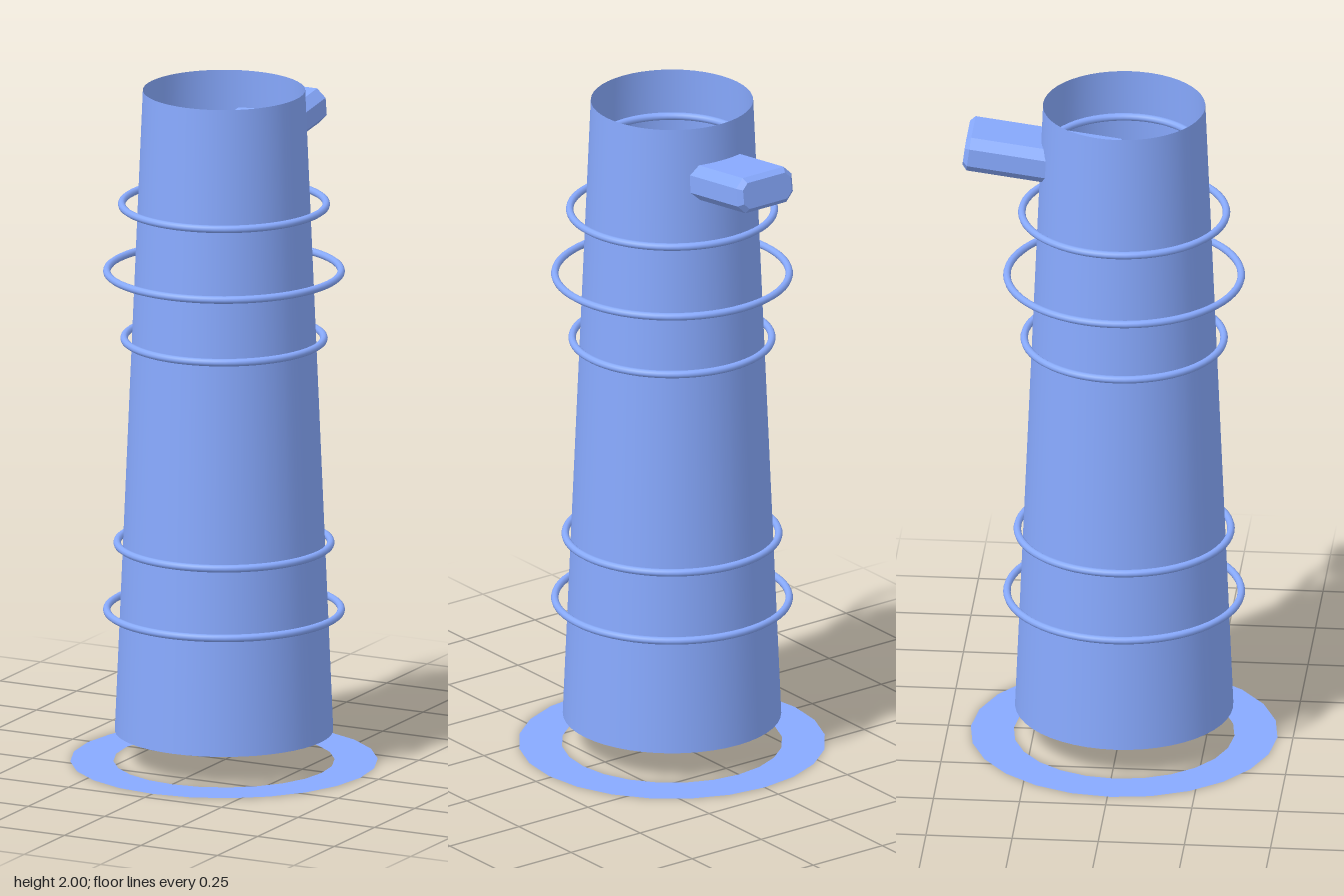
import * as THREE from 'three';

export function createModel() {
  const group = new THREE.Group();
  const smooth = new THREE.MeshStandardMaterial({ color: 0x88aaff });
  const thin = new THREE.MeshStandardMaterial({ color: 0x88aaff, side: THREE.DoubleSide });
  const flat = new THREE.MeshStandardMaterial({ color: 0x88aaff, flatShading: true });
  const axisZ = 0.01;

  function add(name, geometry, material, y, z = axisZ) {
    const mesh = new THREE.Mesh(geometry, material);
    mesh.name = name;
    mesh.position.set(0, y, z);
    group.add(mesh);
    return mesh;
  }

  // Open tapered tube
  add('taperedTube', new THREE.CylinderGeometry(0.235, 0.316, 1.91, 48, 1, true), thin, 1.045);

  // Flat ring on the ground
  add('baseRing', new THREE.RingGeometry(0.32, 0.445, 24, 1), thin, 0).rotation.x = -Math.PI / 2;

  // Thin hoops: height and radius; the top and bottom ones sit inside the tube
  const hoops = [
    [1.86, 0.222], [1.66, 0.296], [1.46, 0.339], [1.26, 0.289],
    [0.65, 0.309], [0.45, 0.339], [0.25, 0.29],
  ];
  hoops.forEach(([y, r], i) => {
    add('hoop' + (i + 1), new THREE.TorusGeometry(r, 0.011, 10, 64), smooth, y).rotation.x = Math.PI / 2;
  });

  // Bevelled bar through the back wall, tilted upwards to the rear
  const bevel = 0.014, length = 0.456;
  const w = 0.1 - bevel, h = 0.053 - bevel, c = 0.018;
  const profile = new THREE.Shape([
    [w - c, -h], [w, -h + c], [w, h - c], [w - c, h],
    [-w + c, h], [-w, h - c], [-w, -h + c], [-w + c, -h],
  ].map(([x, y]) => new THREE.Vector2(x, y)));
  const bar = new THREE.ExtrudeGeometry(profile, {
    depth: length - 2 * bevel, bevelEnabled: true, bevelSegments: 1,
    bevelSize: bevel, bevelThickness: bevel,
  });
  bar.center();
  add('spoutBar', bar, flat, 1.834, -0.222).rotation.x = 0.13;

  return group;
}
